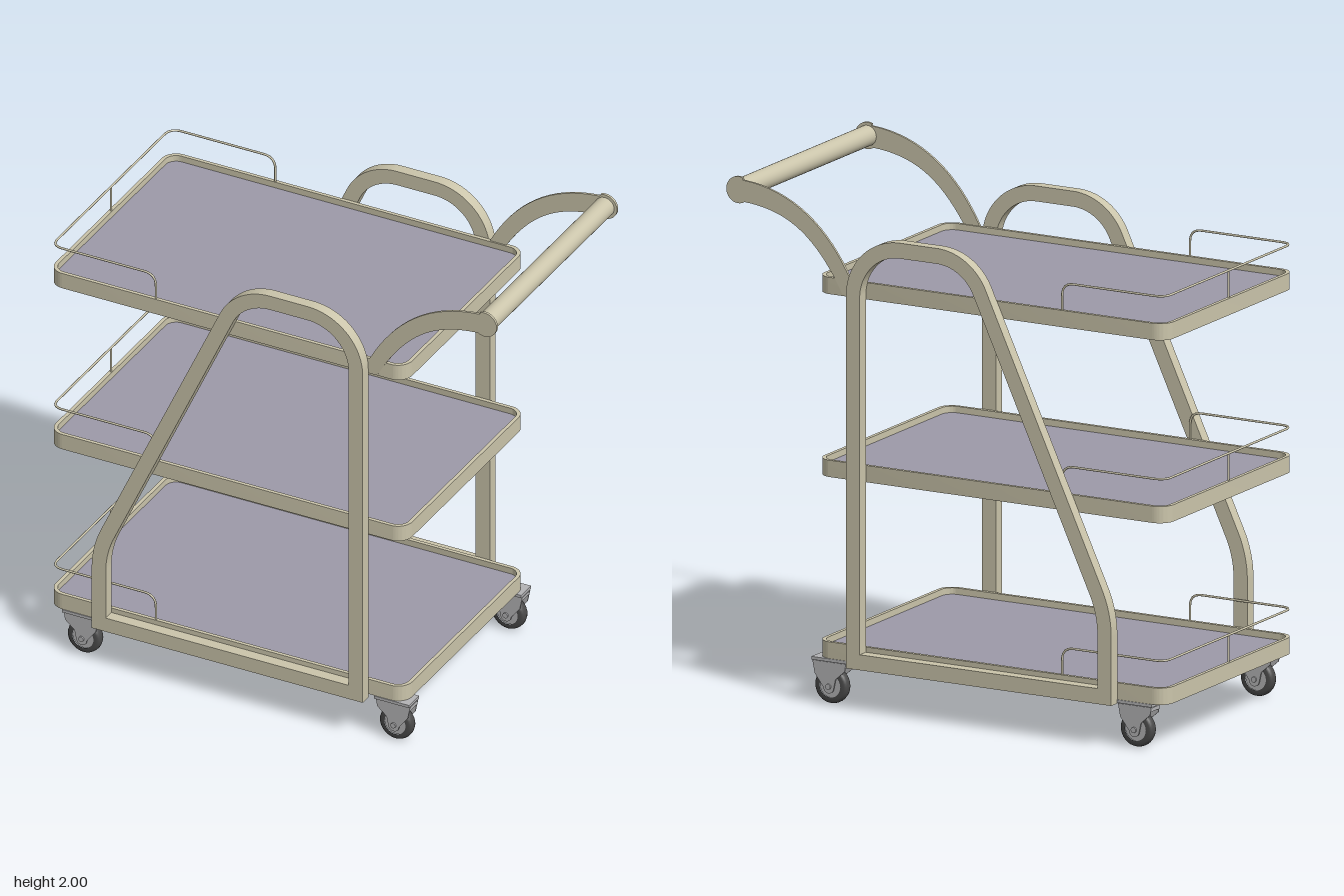
import * as THREE from 'three';
import { toCreasedNormals } from 'three/addons/utils/BufferGeometryUtils.js';

const mat = (name, color) => new THREE.MeshStandardMaterial({ name, color });

function roundedRect(C, x0, x1, z, r) {
  const s = new C();
  s.moveTo(x0 + r, -z);
  s.lineTo(x1 - r, -z);
  s.absarc(x1 - r, -z + r, r, -Math.PI / 2, 0);
  s.absarc(x1 - r, z - r, r, 0, Math.PI / 2);
  s.absarc(x0 + r, z - r, r, Math.PI / 2, Math.PI);
  s.absarc(x0 + r, -z + r, r, Math.PI, Math.PI * 1.5);
  s.closePath();
  return s;
}

// Closed side-frame outline, inset by t
function frameOutline(C, t) {
  const a = THREE.MathUtils.degToRad(24.8), s = new C();
  s.moveTo(0.405 - t, 0.165 + t);
  s.lineTo(0.405 - t, 1.61);
  s.absarc(0.17, 1.61, 0.235 - t, 0, Math.PI / 2);
  s.absarc(0.01, 1.61, 0.235 - t, Math.PI / 2, Math.PI - a);
  s.absarc(-0.32, 0.43, 0.43 - t, Math.PI - a, Math.PI);
  s.lineTo(-0.75 + t, 0.165 + t);
  s.closePath();
  return s;
}

function extrude(shape, depth) {
  const g = new THREE.ExtrudeGeometry(shape, { depth, bevelEnabled: false, curveSegments: 16 });
  return toCreasedNormals(g, 0.5);
}

// Path through points with rounded corners
function roundedPath(pts, r) {
  const path = new THREE.CurvePath();
  let prev = pts[0];
  for (let i = 1; i < pts.length - 1; i++) {
    const p = pts[i];
    const a = p.clone().add(pts[i - 1].clone().sub(p).setLength(r));
    const b = p.clone().add(pts[i + 1].clone().sub(p).setLength(r));
    path.add(new THREE.LineCurve3(prev, a));
    path.add(new THREE.QuadraticBezierCurve3(a, p, b));
    prev = b;
  }
  path.add(new THREE.LineCurve3(prev, pts[pts.length - 1]));
  return path;
}

export function createModel() {
  const beige = mat('beige paint', 0xcbc5ab);
  const panel = mat('shelf grey', 0x9d9aa9);
  const steel = mat('caster steel', 0xb4b4b6);
  const rubber = mat('wheel rubber', 0x4a4a4a);

  const model = new THREE.Group();
  model.name = 'serviceTrolley';
  const add = (parent, name, geo, m, x = 0, y = 0, z = 0) => {
    const mesh = new THREE.Mesh(geo, m);
    mesh.name = name;
    mesh.position.set(x, y, z);
    parent.add(mesh);
    return mesh;
  };
  const group = (name) => {
    const g = new THREE.Group();
    g.name = name;
    model.add(g);
    return g;
  };

  // Shelves: floor, raised rim, coloured panel and wire guard rail
  const flat = (shape, h) => extrude(shape, h).rotateX(-Math.PI / 2);
  const rim = roundedRect(THREE.Shape, -0.96, 0.56, 0.487, 0.06);
  rim.holes.push(roundedRect(THREE.Path, -0.945, 0.545, 0.472, 0.045));
  const rimGeo = flat(rim, 0.065);
  const inner = roundedRect(THREE.Shape, -0.945, 0.545, 0.472, 0.045);
  const floorGeo = flat(inner, 0.035);
  const panelGeo = flat(inner, 0.005);
  const V = (x, y, z) => new THREE.Vector3(x, y, z);
  const railGeo = new THREE.TubeGeometry(roundedPath([
    V(-0.505, 0.06, 0.479), V(-0.505, 0.17, 0.479), V(-0.951, 0.17, 0.479),
    V(-0.951, 0.17, -0.479), V(-0.505, 0.17, -0.479), V(-0.505, 0.06, -0.479),
  ], 0.05), 140, 0.0045, 8);
  const postGeo = new THREE.CylinderGeometry(0.0045, 0.0045, 0.11, 8);
  [['lower', 0.18], ['middle', 0.885], ['upper', 1.595]].forEach(([label, y]) => {
    const shelf = group(label + 'Shelf');
    shelf.position.y = y;
    add(shelf, 'shelfRim', rimGeo, beige);
    add(shelf, 'shelfFloor', floorGeo, beige);
    add(shelf, 'shelfPanel', panelGeo, panel, 0, 0.035);
    add(shelf, 'guardRail', railGeo, beige);
    add(shelf, 'guardRailPost', postGeo, beige, -0.951, 0.115, 0);
  });

  // Side frames
  const frame = frameOutline(THREE.Shape, 0);
  frame.holes.push(frameOutline(THREE.Path, 0.06));
  const frameGeo = extrude(frame, 0.046);
  add(model, 'leftSideFrame', frameGeo, beige, 0, 0, 0.487);
  add(model, 'rightSideFrame', frameGeo, beige, 0, 0, -0.533);

  // Push handle: curved flat arms with round ends and a grip bar
  const arm = new THREE.Shape();
  arm.moveTo(0.38, 1.6);
  arm.lineTo(0.41, 1.66);
  arm.bezierCurveTo(0.51, 1.85, 0.66, 1.975, 0.88, 1.99);
  arm.absarc(0.9, 1.95, 0.052, Math.PI * 0.62, -Math.PI * 0.68, true);
  arm.bezierCurveTo(0.70, 1.895, 0.59, 1.83, 0.48, 1.66);
  arm.lineTo(0.445, 1.6);
  arm.closePath();
  const armGeo = extrude(arm, 0.01);
  const handle = group('pushHandle');
  for (const z of [0.478, -0.488]) add(handle, 'handleArm', armGeo, beige, 0, 0, z);
  add(handle, 'handleGrip', new THREE.CylinderGeometry(0.04, 0.04, 0.96, 32).rotateX(Math.PI / 2),
    beige, 0.9, 1.95, 0);

  // Casters
  const cheek = new THREE.Shape();
  cheek.moveTo(-0.075, 0.165);
  cheek.lineTo(-0.07, 0.135);
  cheek.lineTo(-0.03, 0.1);
  cheek.lineTo(-0.022, 0.062);
  cheek.absarc(0, 0.065, 0.022, Math.PI, Math.PI * 2);
  cheek.lineTo(0.06, 0.115);
  cheek.lineTo(0.07, 0.165);
  cheek.closePath();
  const cheekGeo = extrude(cheek, 0.005);
  const tyreGeo = new THREE.LatheGeometry([
    [0.045, -0.022], [0.06, -0.022], [0.067, -0.016], [0.07, -0.006],
    [0.07, 0.006], [0.067, 0.016], [0.06, 0.022], [0.045, 0.022],
  ].map(([r, h]) => new THREE.Vector2(r, h)), 32).rotateX(Math.PI / 2);
  const disc = (r, h) => new THREE.CylinderGeometry(r, r, h, 24).rotateX(Math.PI / 2);
  const hubGeo = disc(0.046, 0.036), axleGeo = disc(0.011, 0.078);
  const plateGeo = new THREE.BoxGeometry(0.15, 0.012, 0.08);
  const crownGeo = new THREE.BoxGeometry(0.14, 0.014, 0.066);
  const swivelGeo = new THREE.CylinderGeometry(0.03, 0.03, 0.02, 24);
  for (const x of [-0.82, 0.51]) {
    for (const z of [-0.45, 0.45]) {
      const caster = group('caster');
      caster.position.set(x, 0, z);
      add(caster, 'casterPlate', plateGeo, steel, -0.005, 0.174, 0);
      add(caster, 'casterSwivel', swivelGeo, steel, -0.01, 0.165, 0);
      add(caster, 'casterCrown', crownGeo, steel, -0.003, 0.155, 0);
      add(caster, 'casterCheek', cheekGeo, steel, 0, 0, 0.028);
      add(caster, 'casterCheek', cheekGeo, steel, 0, 0, -0.033);
      add(caster, 'casterTyre', tyreGeo, rubber, 0, 0.07, 0);
      add(caster, 'casterHub', hubGeo, steel, 0, 0.07, 0);
      add(caster, 'casterAxle', axleGeo, steel, 0, 0.07, 0);
    }
  }
  return model;
}
